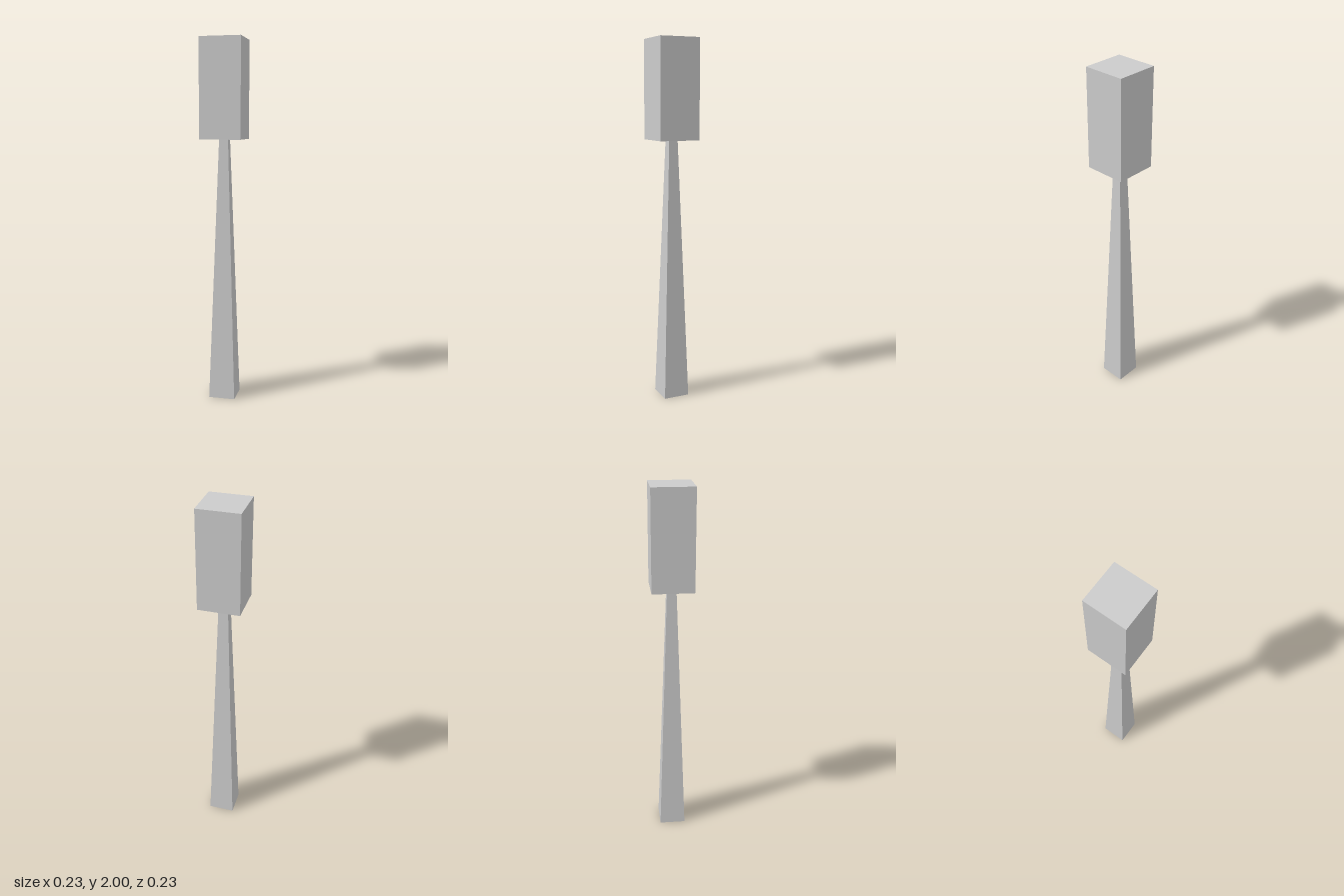
import * as THREE from 'three';

const material = new THREE.MeshStandardMaterial({ color: 0xcccccc, flatShading: true });

// Square post from y0 to y1 whose width runs from bottom to top
function squarePost(name, bottom, top, y0, y1) {
  const geometry = new THREE.CylinderGeometry(top * Math.SQRT1_2, bottom * Math.SQRT1_2, y1 - y0, 4);
  geometry.rotateY(Math.PI / 4);
  geometry.translate(0, (y0 + y1) / 2, 0);
  const mesh = new THREE.Mesh(geometry, material);
  mesh.name = name;
  return mesh;
}

export function createModel() {
  const group = new THREE.Group();
  group.name = 'postWithBlockHead';

  // Tapered shaft standing on the ground
  group.add(squarePost('shaft', 0.146, 0.05, 0, 1.462));

  // Upright block on top of the shaft
  group.add(squarePost('head', 0.227, 0.227, 1.462, 2));

  return group;
}
